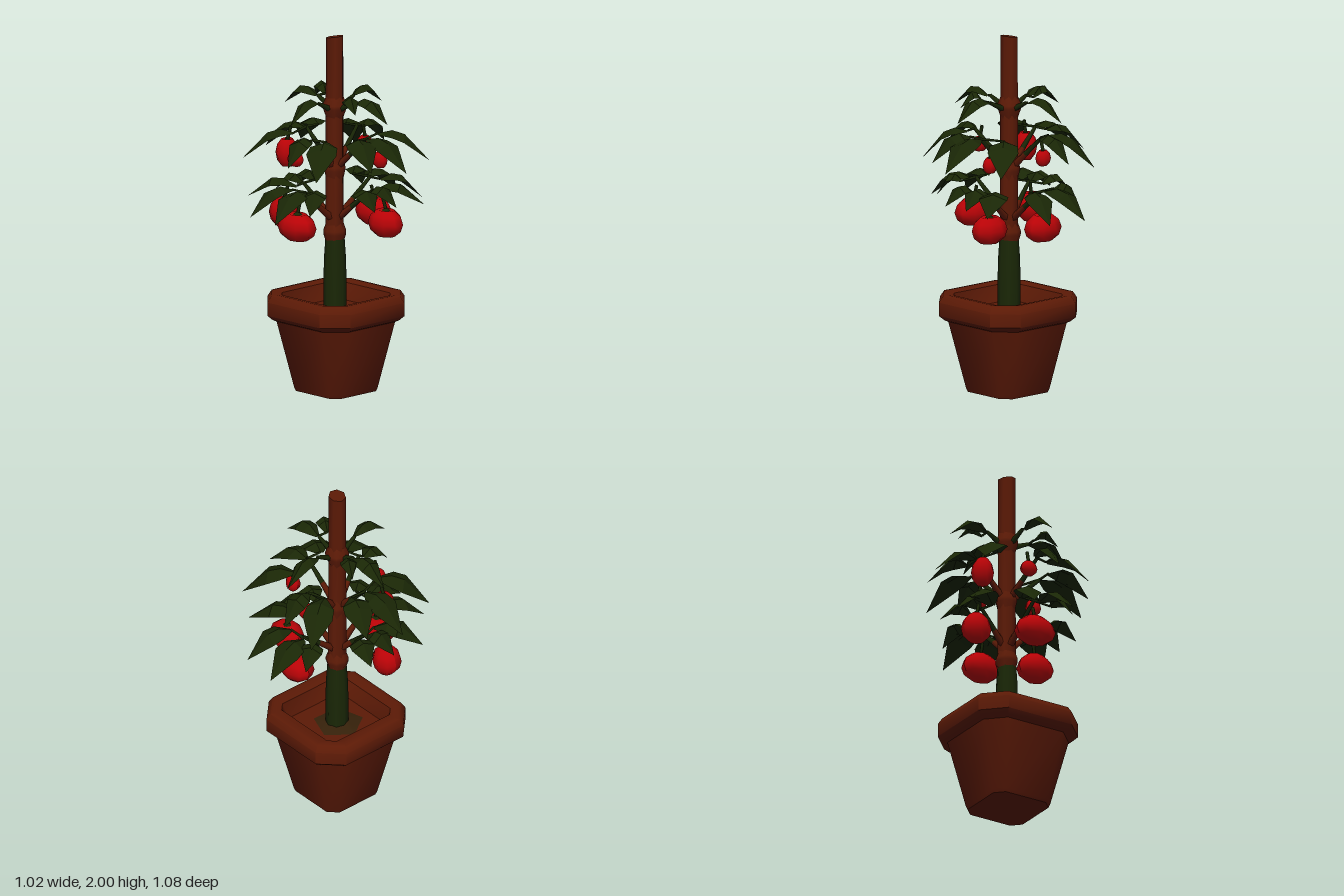
import * as THREE from 'three';
import { toCreasedNormals } from 'three/addons/utils/BufferGeometryUtils.js';

const rad = THREE.MathUtils.degToRad;
const V = (x, y, z) => new THREE.Vector3(x, y, z);
// point at compass angle a (0 = +x, 90 = -z), distance r, height y
const polar = (a, r, y) => V(r * Math.cos(rad(a)), y, -r * Math.sin(rad(a)));

export function createModel() {
  const model = new THREE.Group();
  const mat = (name, color) => {
    const m = new THREE.MeshStandardMaterial({ color });
    m.name = name;
    return m;
  };
  const brown = mat('terracotta brown', 0x5c1a06);
  const green = mat('leaf green', 0x1a2706);
  green.side = THREE.DoubleSide;
  const red = mat('tomato red', 0xbb0307);
  const olive = mat('olive brown', 0x36210a);

  const add = (name, geo, material, pos) => {
    const mesh = new THREE.Mesh(geo, material);
    mesh.name = name;
    if (pos) mesh.position.copy(pos);
    model.add(mesh);
    return mesh;
  };

  // grid of points (rows of equal length) to an unindexed geometry
  const gridGeometry = (rows, closed) => {
    const n = rows[0].length, idx = [];
    for (let i = 0; i < rows.length - 1; i++)
      for (let j = 0; j < (closed ? n : n - 1); j++) {
        const k = (j + 1) % n;
        const a = i * n + j, b = i * n + k, c = (i + 1) * n + k, d = (i + 1) * n + j;
        if (closed) idx.push(a, d, b, b, d, c);
        else idx.push(a, b, d, b, c, d);
      }
    const geo = new THREE.BufferGeometry().setFromPoints(rows.flat());
    geo.setIndex(idx);
    return geo.toNonIndexed();
  };

  // pot: square sections with cut corners, [half width, corner cut, height]
  const section = ([h, c, y]) => {
    const k = h - c;
    return [[h, -k], [h, k], [k, h], [-k, h], [-h, k], [-h, -k], [-k, -h], [k, -h]]
      .map(([x, z]) => V(x, y, z));
  };
  const potProfile = [
    [0.001, 0.0004, 0], [0.18, 0.05, 0], [0.187, 0.05, 0.02], [0.28, 0.1, 0.4],
    [0.3, 0.11, 0.41], [0.326, 0.12, 0.435], [0.326, 0.12, 0.51], [0.305, 0.11, 0.545],
    [0.28, 0.1, 0.55], [0.23, 0.04, 0.54], [0.2, 0.03, 0.45], [0.001, 0.0004, 0.45],
  ];
  add('pot', toCreasedNormals(gridGeometry(potProfile.map(section), true), 0.85), brown);

  // flare where the stem meets the soil
  const flare = add('stemFoot', new THREE.CylinderGeometry(0.05, 0.16, 0.03, 5), olive, V(-0.01, 0.46, 0.01));
  flare.rotation.y = 0.9;

  // lower stem, brown stake and its swollen joints
  const lathe = (pts) => new THREE.LatheGeometry(pts.map(([r, y]) => new THREE.Vector2(r, y)), 8);
  add('lowerStem', lathe([[0.062, 0.44], [0.064, 0.6], [0.06, 0.75], [0.05, 0.9]]), green, V(-0.008, 0, 0));
  const stakeGeo = new THREE.CylinderGeometry(0.049, 0.052, 1.15, 7);
  const sp = stakeGeo.attributes.position;
  for (let i = 0; i < sp.count; i++) // slanted top cut
    if (sp.getY(i) > 0) sp.setY(i, sp.getY(i) - 0.008 + sp.getX(i) * 0.17);
  add('stake', toCreasedNormals(stakeGeo, 0.95), brown, V(-0.01, 1.425, 0));
  for (const [y, r] of [[0.89, 0.063], [1.25, 0.058], [1.6, 0.066]])
    add('stakeJoint', lathe([[0.045, y - 0.07], [r, y - 0.01], [r, y + 0.01], [0.045, y + 0.06]]), brown, V(-0.01, 0, 0));

  // tapered rod between two points
  const rod = (name, a, b, r0, r1, material) => {
    const dir = b.clone().sub(a);
    const mesh = add(name, new THREE.CylinderGeometry(r1, r0, dir.length(), 5), material, a.clone().lerp(b, 0.5));
    mesh.quaternion.setFromUnitVectors(V(0, 1, 0), dir.normalize());
  };

  // pointed, arched leaf folded along its midrib
  const leaf = (base, tip, width) => {
    const dir = tip.clone().sub(base).setY(0).normalize();
    const side = V(-dir.z, 0, dir.x);
    const rows = [[0, 0.2], [0.28, 0.9], [0.52, 1], [1, 0.01]].map(([t, w]) =>
      [-1, 0, 1].map((s) => {
        const p = base.clone().lerp(tip, t).addScaledVector(side, s * w * width / 2);
        p.y += 0.3 * t * (1 - t) - (s ? 0.03 * w : 0);
        return p;
      }));
    const geo = gridGeometry(rows, false);
    geo.computeVertexNormals();
    add('leaf', geo, green);
  };

  // branch from the stake to a hub; each leaf [angle, reach, tip height, width]
  // springs from a short stalk beside the hub
  const clump = (angle, startY, hubR, hubY, baseMaterial, leaves) => {
    const hub = polar(angle, hubR, hubY);
    const start = V(-0.01, startY, 0);
    const mid = start.clone().lerp(hub, 0.5);
    rod('branchBase', start, mid, 0.024, 0.016, baseMaterial);
    rod('branchEnd', mid, hub, 0.016, 0.01, green);
    for (const [a, r, y, width] of leaves) {
      const base = polar(a, hubR * 1.04, hubY);
      rod('leafStalk', hub, base, 0.008, 0.006, green);
      leaf(base, polar(a, r, y), width);
    }
  };

  // the foliage repeats after half a turn
  for (const h of [0, 180]) {
    // lower tier
    clump(h + 14, 0.95, 0.21, 1.14, brown,
      [[h + 34, 0.495, 1.07, 0.16], [h + 12, 0.4, 1.08, 0.14], [h - 12, 0.4, 1.08, 0.14]]);
    clump(h + 90, 0.95, 0.26, 1.16, brown,
      [[h + 98, 0.545, 1.03, 0.16], [h + 73, 0.53, 1.03, 0.15], [h + 116, 0.42, 1.07, 0.13]]);
    // middle tier
    clump(h + 4, 1.24, 0.22, 1.45, brown,
      [[h + 5, 0.51, 1.3, 0.17], [h - 19, 0.455, 1.32, 0.17], [h + 43, 0.515, 1.3, 0.17]]);
    clump(h + 104, 1.24, 0.22, 1.45, brown,
      [[h + 123, 0.49, 1.28, 0.17], [h + 98, 0.43, 1.33, 0.13]]);
    // top tier
    clump(h + 2, 1.57, 0.14, 1.64, green,
      [[h + 2, 0.39, 1.56, 0.12], [h - 22, 0.28, 1.61, 0.09]]);
    clump(h + 92, 1.57, 0.14, 1.64, green,
      [[h + 96, 0.39, 1.56, 0.09]]);
  }

  // tomatoes with a dimpled top, green cap and stalk
  const tomato = ([x, y, z, rx, ry, rz]) => {
    const geo = new THREE.SphereGeometry(1, 9, 6);
    const p = geo.attributes.position;
    for (let i = 0; i < p.count; i++) {
      const py = p.getY(i), r = Math.hypot(p.getX(i), p.getZ(i));
      const lobe = 1 + 0.05 * Math.cos(3 * Math.atan2(p.getZ(i), p.getX(i)));
      p.setXYZ(i, p.getX(i) * lobe, py > 0.8 ? 0.75 + 0.25 * r : Math.max(py, -0.92), p.getZ(i) * lobe);
    }
    geo.scale(rx, ry, rz);
    geo.computeVertexNormals();
    add('tomato', geo, red, V(x, y, z));
    const top = V(x, y + ry * 0.82, z);
    add('tomatoCap', new THREE.ConeGeometry(rx * 0.45, ry * 0.45, 5), green, top);
    rod('tomatoStalk', top, V(x * 0.93, y + ry + 0.06, z * 0.93), 0.01, 0.01, green);
  };
  [
    [-0.01, 0.965, 0.285, 0.122, 0.085, 0.09],
    [0.005, 0.965, -0.285, 0.115, 0.085, 0.085],
    [-0.285, 0.975, 0.12, 0.085, 0.09, 0.08],
    [0.26, 0.965, -0.13, 0.108, 0.085, 0.085],
    [-0.25, 1.32, 0.13, 0.062, 0.088, 0.065],
    [0.235, 1.32, -0.11, 0.045, 0.05, 0.04],
    [-0.04, 1.34, 0.27, 0.05, 0.045, 0.04],
    [-0.03, 1.345, -0.25, 0.045, 0.05, 0.04],
  ].forEach(tomato);

  return model;
}
